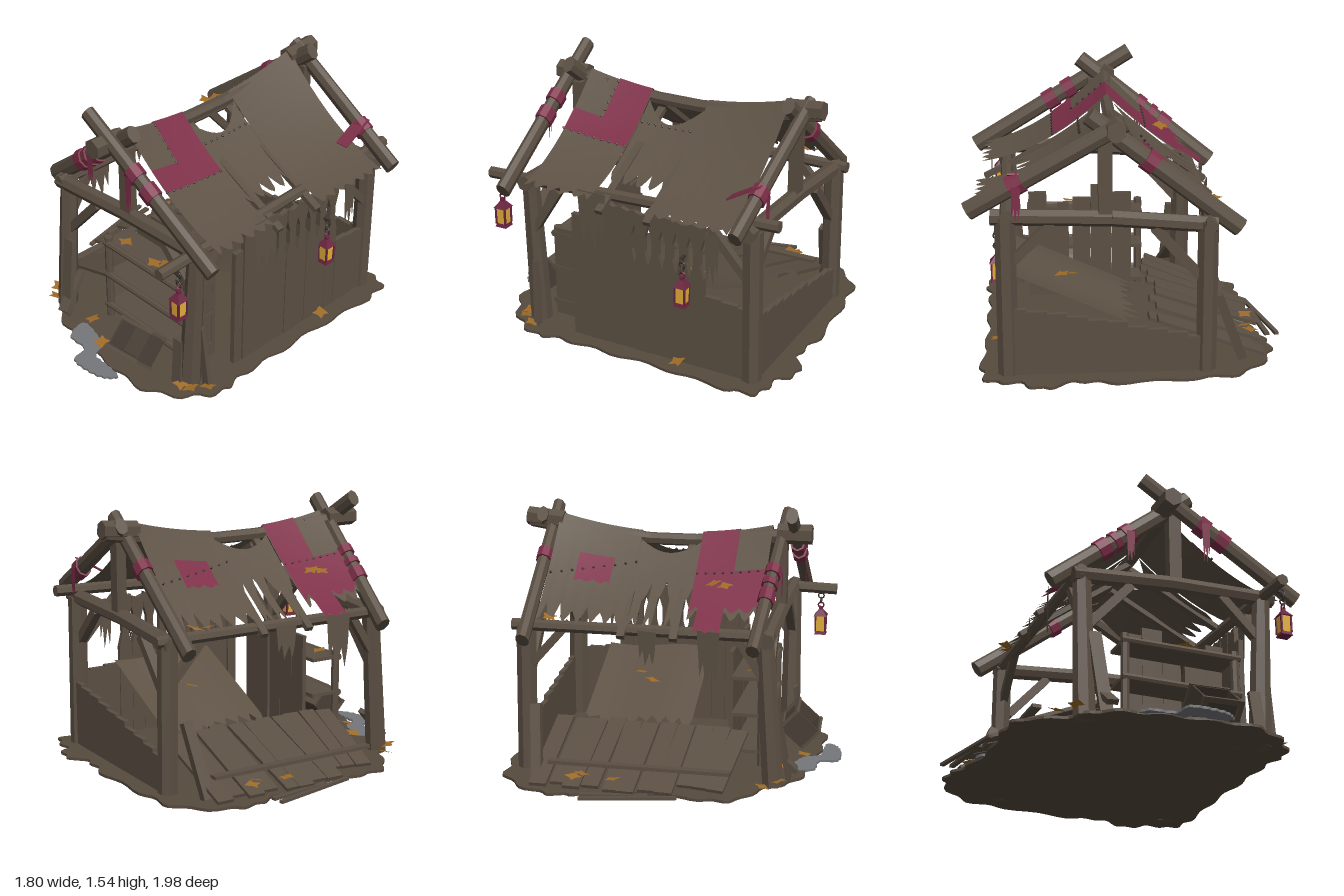
import * as THREE from 'three';

const V = (x, y, z) => new THREE.Vector3(x, y, z);
const RIDGE = 0.08;

export function createModel() {
  const root = new THREE.Group();
  root.name = 'tatteredMarketStall';
  const mat = (name, color, side = THREE.FrontSide) => {
    const m = new THREE.MeshStandardMaterial({ color, side });
    m.name = name;
    return m;
  };
  const wood = mat('weatheredWood', 0x5b4f43), darkWood = mat('darkWood', 0x4b4138);
  const earth = mat('earth', 0x564a3e), canvas = mat('canvas', 0x5e5245, THREE.DoubleSide);
  const red = mat('redCloth', 0x7d2f48, THREE.DoubleSide), maroon = mat('maroonMetal', 0x6a2440);
  const iron = mat('iron', 0x3a332e), glow = mat('lanternGlass', 0xe8b23a);
  const leafMat = mat('dryLeaf', 0xa06c28, THREE.DoubleSide), stone = mat('greyPuddle', 0x76777a);

  let seed = 7;
  const rnd = () => (seed = (seed * 16807) % 2147483647) / 2147483647;

  // faceted mesh, or smooth for cloth
  const add = (name, geo, m, parent = root, smooth = false) => {
    const g = geo.index && !smooth ? geo.toNonIndexed() : geo;
    g.computeVertexNormals();
    const mesh = new THREE.Mesh(g, m);
    mesh.name = name;
    parent.add(mesh);
    return mesh;
  };
  // round timber between two points
  const log = (name, a, b, r, m = wood, sides = 7, r2 = r) => {
    const d = b.clone().sub(a), mesh = add(name, new THREE.CylinderGeometry(r2, r, d.length(), sides, 3), m);
    mesh.position.copy(a).lerp(b, 0.5);
    mesh.quaternion.setFromUnitVectors(V(0, 1, 0), d.normalize());
    return mesh;
  };
  // flat board between two points; hint is the direction of its width
  const board = (name, a, b, w, t, hint = V(1, 0, 0), m = wood) => {
    const d = b.clone().sub(a), y = d.clone().normalize();
    const z = hint.clone().cross(y).normalize(), x = y.clone().cross(z);
    const mesh = add(name, new THREE.BoxGeometry(w, d.length(), t), m);
    mesh.position.copy(a).lerp(b, 0.5);
    mesh.quaternion.setFromRotationMatrix(new THREE.Matrix4().makeBasis(x, y, z));
    return mesh;
  };
  // flat irregular patch on the ground
  const slab = (name, pts, h, y, m, ripple) => {
    const c = new THREE.CatmullRomCurve3(pts.map(([x, z]) => V(x, 0, z)), true);
    const out = c.getPoints(160).slice(0, -1).map((p, i) => {
      const k = 1 + ripple * Math.sin(i * 1.1);
      return new THREE.Vector2(p.x * k, -p.z * k);
    });
    const g = new THREE.ExtrudeGeometry(new THREE.Shape(out), { depth: h, bevelEnabled: false });
    add(name, g.rotateX(-Math.PI / 2), m).position.y = y;
  };

  // ground
  slab('ground', [[-0.62, -0.85], [-0.35, -0.9], [0.1, -0.93], [0.3, -0.9], [0.48, -0.98], [0.62, -0.9], [0.78, -0.87],
    [0.82, -0.7], [0.8, -0.3], [0.8, 0.1], [0.8, 0.4], [0.82, 0.55], [0.72, 0.72], [0.5, 0.86], [0.2, 0.86], [-0.1, 0.84],
    [-0.35, 0.77], [-0.5, 0.62], [-0.72, 0.48], [-0.74, 0.3], [-0.72, 0], [-0.77, -0.3], [-0.82, -0.45], [-0.8, -0.62]],
  0.016, 0, earth, 0.018);
  slab('puddle', [[-0.18, 0.73], [-0.05, 0.74], [0.06, 0.79], [0.1, 0.87], [0.22, 0.88], [0.33, 0.9], [0.28, 0.96],
    [0.16, 0.99], [0.04, 0.98], [0.01, 0.88], [-0.14, 0.86]], 0.014, 0.006, stone, 0.004);
  slab('smallPuddle', [[-0.75, -0.16], [-0.68, -0.16], [-0.67, -0.09], [-0.73, -0.09]], 0.014, 0.006, stone, 0);

  // posts
  log('frontPost', V(-0.41, 0, 0.66), V(-0.41, 0.87, 0.6), 0.062, wood, 7, 0.052);
  log('frontPost', V(0.63, 0, 0.62), V(0.68, 0.92, 0.62), 0.065, wood, 7, 0.05);
  log('backPost', V(-0.42, 0, -0.78), V(-0.42, 0.88, -0.77), 0.058);
  log('backPost', V(0.67, 0, -0.78), V(0.67, 0.92, -0.77), 0.058);
  // tie beams, king posts and braces at both ends
  for (const z of [0.62, -0.77]) {
    log('tieBeam', V(-0.47, 0.85, z), V(0.1, 0.9, z), 0.046);
    log('tieBeam', V(0.1, 0.9, z), V(0.75, 0.92, z), 0.046);
    board('kingPost', V(0.135, 0.92, z), V(0.135, 1.34, z), 0.075, 0.06);
    board('brace', V(-0.38, 0.56, z), V(-0.13, 0.84, z), 0.05, 0.05);
    board('brace', V(0.66, 0.64, z), V(0.42, 0.88, z), 0.05, 0.05);
  }
  // wall plates with side braces
  log('wallPlate', V(0.68, 0.91, 0.89), V(0.66, 0.97, -0.92), 0.034);
  log('wallPlate', V(-0.43, 0.87, 0.66), V(-0.43, 0.87, -0.85), 0.034);
  for (const x of [-0.42, 0.68]) {
    board('sideBrace', V(x, 0.62, -0.76), V(x, 0.89, -0.52), 0.045, 0.045);
    board('sideBrace', V(x, 0.62, 0.6), V(x, 0.89, 0.43), 0.045, 0.045);
  }
  // crossed rafters, taller than wide
  const rafters = [[V(-0.58, 0.82, 0.56), V(0.22, 1.46, 0.64)], [V(0.87, 0.91, 0.68), V(-0.09, 1.49, 0.7)],
    [V(-0.6, 0.82, -0.74), V(0.22, 1.46, -0.75)], [V(0.87, 0.95, -0.76), V(0.03, 1.43, -0.8)]];
  rafters.forEach(([a, b]) => { log('rafter', a, b, 0.054, wood, 8, 0.05).scale.z = 0.72; });
  for (const z of [-0.2, 0.1]) {
    board('thinRafter', V(-0.5, 0.84, z), V(RIDGE, 1.28, z), 0.045, 0.03, V(0, 0, 1));
    board('thinRafter', V(0.8, 0.88, z), V(RIDGE, 1.24, z), 0.045, 0.03, V(0, 0, 1));
  }
  // sagging ridge beam
  const ridge = [V(RIDGE, 1.39, -0.88), V(RIDGE, 1.33, -0.5), V(RIDGE, 1.3, -0.15), V(RIDGE, 1.3, 0.12),
    V(RIDGE, 1.325, 0.45), V(0.06, 1.36, 0.78)];
  for (let i = 0; i < 5; i++) log('ridgeBeam', ridge[i], ridge[i + 1], i === 0 || i === 4 ? 0.045 : 0.037);
  log('ridgeEnd', V(0.06, 1.36, 0.6), V(0.06, 1.36, 0.8), 0.058, wood, 6);
  log('ridgeEnd', V(RIDGE, 1.39, -0.68), V(RIDGE, 1.41, -0.9), 0.055, wood, 6);

  // roof surface, sagging from ridge to eaves
  const roofY = (x, z) => {
    const top = 1.34 + 0.2 * z * z, right = x > RIDGE;
    const t = right ? (x - RIDGE) / 0.76 : (RIDGE - x) / 0.6;
    return top - t * (top - (right ? 0.95 : 0.88)) - 4 * (right ? 0.08 : 0.03) * t * (1 - t);
  };
  // sheet on the roof with a scalloped outer edge; notch hollows out the inner edge
  const cloth = (name, x0, x1, z0, z1, m = canvas, lift = 0, rag = 0, notch = 0) => {
    const nz = Math.max(4, Math.round(Math.abs(z1 - z0) / 0.02)), nx = 12, dir = Math.sign(x1 - x0);
    const g = new THREE.PlaneGeometry(1, 1, nx, nz), p = g.attributes.position;
    const jag = Array.from({ length: nz + 1 }, (_, i) => rag * [0, 0.3, 0.9, 0.35][i % 4] * (0.6 + 0.5 * rnd()));
    for (let i = 0; i < p.count; i++) {
      const u = p.getX(i) + 0.5, k = Math.round((p.getY(i) + 0.5) * nz), z = z0 + (z1 - z0) * k / nz;
      const a = x0 + dir * notch * Math.sin(Math.PI * k / nz), x = a + (x1 - dir * jag[k] - a) * u;
      p.setXYZ(i, x, roofY(x, z) + lift, z);
    }
    add(name, g, m, root, true);
  };
  cloth('frontRoofCloth', RIDGE, 0.82, 0.16, 0.57, canvas, 0, 0.07);
  cloth('frontRoofCloth', RIDGE, -0.42, 0.16, 0.57, canvas, 0, 0.08);
  cloth('middleRoofCloth', RIDGE + 0.04, 0.62, -0.2, 0.16, canvas, -0.01, 0.1, 0.1);
  cloth('middleRoofCloth', RIDGE - 0.04, -0.3, -0.2, 0.16, canvas, -0.01, 0.14, 0.06);
  cloth('backRoofCloth', RIDGE, 0.84, -0.7, -0.2, canvas, 0, 0.06);
  cloth('backRoofCloth', RIDGE, -0.48, -0.7, -0.2, canvas, 0, 0.12);
  for (const z of [-0.17, -0.08, 0.04]) cloth('roofTatter', -0.15, -0.48, z, z + 0.05, canvas, 0.004, 0.06);
  cloth('redRoofPatch', RIDGE, 0.4, 0.16, 0.38, red, 0.007);
  cloth('redRoofPatch', 0.28, 0.4, 0.38, 0.57, red, 0.007);
  cloth('redRoofPatch', RIDGE, -0.17, 0.16, 0.38, red, 0.007);
  cloth('redRoofPatch', -0.14, -0.38, 0.16, 0.57, red, 0.008, 0.05);
  cloth('redRoofStrip', -0.3, -0.51, 0.21, 0.36, red, 0.009, 0.03);
  cloth('smallRedPatch', -0.09, -0.24, -0.54, -0.33, red, 0.008, 0.02);
  // stitches
  const stitch = (x0, z0, x1, z1, n) => {
    for (let i = 0; i < n; i++) {
      const x = x0 + (x1 - x0) * i / (n - 1), z = z0 + (z1 - z0) * i / (n - 1);
      add('stitch', new THREE.OctahedronGeometry(0.01), iron).position.set(x, roofY(x, z) + 0.01, z);
    }
  };
  [[0.4, 0.17, 0.4, 0.57, 9], [0.1, 0.38, 0.28, 0.39, 6], [-0.15, 0.17, -0.15, 0.57, 9], [0.25, -0.17, 0.25, 0.14, 8],
    [-0.22, -0.68, -0.1, -0.2, 9]].forEach(a => stitch(...a));

  // vertical hanging rags, tapering to points
  const rag = (name, x, y, z, w, h, m = canvas, turn = Math.PI / 2) => {
    const s = new THREE.Shape();
    s.moveTo(-w / 2, 0);
    [[-0.42, -0.6], [-0.3, -0.95], [-0.15, -0.6], [0.1, -1], [0.22, -0.55], [0.38, -0.8], [0.5, 0]]
      .forEach(([u, v]) => s.lineTo(u * w, v * h));
    const mesh = add(name, new THREE.ShapeGeometry(s), m);
    mesh.position.set(x, y, z);
    mesh.rotation.y = turn;
  };
  rag('hangingRag', 0.76, 0.97, 0.17, 0.18, 0.34);
  rag('hangingRag', 0.73, 0.87, -0.56, 0.09, 0.31);
  rag('hangingRag', -0.5, 0.9, 0.3, 0.14, 0.33, canvas, 1.3);
  rag('hangingRag', -0.49, 0.88, -0.05, 0.12, 0.2, canvas, 1.3);
  // cloth wraps around the rafters
  const wrap = (k, t, w = 0.05, tail = 0) => {
    const [a, b] = rafters[k], d = b.clone().sub(a).normalize(), c = a.clone().lerp(b, t);
    log('redWrap', c.clone().addScaledVector(d, -w / 2), c.clone().addScaledVector(d, w / 2), 0.063, red, 8).scale.z = 0.78;
    if (tail) rag('redWrapTail', c.x, c.y, c.z + Math.sign(c.z) * 0.053, 0.05, tail, red, 0);
  };
  wrap(0, 0.37, 0.08); wrap(0, 0.46, 0.04); wrap(0, 0.55, 0.06, 0.2);
  wrap(1, 0.49, 0.08); wrap(1, 0.61, 0.07, 0.26);
  wrap(2, 0.6, 0.07); wrap(3, 0.31, 0.08, 0.2);
  board('redStrap', V(0.61, 1.16, -0.79), V(0.61, 1.05, -0.6), 0.08, 0.008, V(1, 0, 0), red);

  // plank side wall with diamond gaps between planks
  const plank = (z, w, h, gap) => {
    const s = new THREE.Shape(), e = w / 2 - 0.001, n = gap ? 0.02 : 0;
    s.moveTo(-e, 0.01); s.lineTo(e, 0.01);
    s.lineTo(e, 0.57); s.lineTo(e - n, 0.65); s.lineTo(e - n, 0.74); s.lineTo(e, 0.81);
    s.lineTo(e, h); s.lineTo(0, h - 0.015); s.lineTo(-e, h);
    s.lineTo(-e, 0.81); s.lineTo(-e + n, 0.74); s.lineTo(-e + n, 0.65); s.lineTo(-e, 0.57);
    const mesh = add('wallPlank', new THREE.ExtrudeGeometry(s, { depth: 0.03, bevelEnabled: false }), wood);
    mesh.rotation.y = Math.PI / 2;
    mesh.position.set(0.67 + 0.006 * rnd(), 0, z);
  };
  for (let i = 0; i < 9; i++) plank(0.235 - i * 0.086, 0.086, 0.88 + 0.02 * rnd(), i > 2);
  board('shortWallPlank', V(0.685, 0.01, 0.312), V(0.685, 0.78, 0.312), 0.06, 0.03, V(0, 0, 1));
  for (let i = 0; i < 3; i++)
    board('lowWallPlank', V(0.685, 0.01, -0.55 - i * 0.1), V(0.685, 0.47 - 0.01 * i, -0.55 - i * 0.1), 0.1, 0.03, V(0, 0, 1));
  // low broken back wall
  for (let i = 0; i < 10; i++) {
    const x = 0.62 - i * 0.11;
    board('backWallPlank', V(x, 0.01, -0.8), V(x, 0.4 - i * 0.02 + 0.015 * rnd(), -0.8), 0.11, 0.03);
  }
  // canvas fallen inside, torn along its low edge
  const fallen = new THREE.PlaneGeometry(0.62, 0.66, 6, 24).rotateX(-Math.PI / 2), fp = fallen.attributes.position;
  for (let i = 0; i < fp.count; i++) {
    const row = Math.floor(i / 7);
    if (i % 7 === 0) fp.setX(i, -0.31 - 0.06 * (row % 3) * rnd());
    fp.setY(i, 0.36 + fp.getX(i) * 0.46 + 0.012 * Math.sin(fp.getZ(i) * 9));
  }
  add('fallenCanvas', fallen, canvas, root, true).position.set(0.33, 0, -0.22);

  // shelf counter with tall back boards
  [[-0.02, 0.68], [0.105, 0.73], [0.225, 0.65], [0.34, 0.62], [0.41, 0.59], [0.495, 0.69]].forEach(([x, h], i) =>
    board('counterBackPlank', V(x, 0.01, 0.36), V(x, h, 0.36), [0.12, 0.125, 0.11, 0.07, 0.07, 0.11][i], 0.025));
  for (const x of [-0.135, 0.53]) log('counterUpright', V(x, 0, 0.55), V(x, 0.58, 0.55), 0.024);
  board('counterSide', V(0.545, 0.01, 0.47), V(0.545, 0.58, 0.47), 0.18, 0.02, V(0, 0, 1));
  for (const y of [0.1, 0.32, 0.54]) {
    board('counterShelf', V(-0.15, y, 0.46), V(0.56, y, 0.46), 0.17, 0.02, V(0, 0, 1));
    log('counterRail', V(-0.16, y, 0.56), V(0.56, y, 0.56), 0.02);
  }

  // tipped crate
  const crate = new THREE.Group();
  crate.name = 'crate';
  root.add(crate);
  const box = (w, h, d, x, y, z, m) => add('cratePart', new THREE.BoxGeometry(w, h, d), m, crate).position.set(x, y, z);
  box(0.23, 0.012, 0.17, 0, -0.075, 0, darkWood);
  for (const s of [-1, 1]) {
    box(0.012, 0.15, 0.17, s * 0.11, 0, 0, darkWood);
    box(0.23, 0.15, 0.012, 0, 0, s * 0.08, darkWood);
    for (const y of [-0.065, 0.065]) box(0.25, 0.03, 0.016, 0, y, s * 0.09, wood);
    for (const x of [-0.11, 0.11]) box(0.03, 0.16, 0.016, x, 0, s * 0.092, wood);
  }
  crate.position.set(0.3, 0.15, 0.73);
  crate.rotation.set(0.75, 0.08, 0);

  // collapsed side wall and loose boards
  for (let i = 0; i < 11; i++) {
    const z = -0.62 + i * 0.105, j = rnd() * 0.08, k = i > 7 ? (i - 7) * 0.02 : (rnd() - 0.5) * 0.04;
    board('fallenPlank', V(-0.8 + j + (i > 7 ? 0.1 : 0), 0.035, z - k), V(-0.2 + j, 0.22 + 0.03 * rnd(), z), 0.1, 0.02, V(0, 0, 1));
  }
  board('fallenBatten', V(-0.6, 0.12, -0.6), V(-0.6, 0.12, 0.45), 0.05, 0.02);
  board('looseSlat', V(-0.89, 0.02, -0.35), V(-0.77, 0.02, 0.18), 0.025, 0.016);
  board('looseSlat', V(-0.83, 0.022, -0.36), V(-0.78, 0.022, 0.02), 0.03, 0.016);
  board('leaningPlank', V(-0.64, 0.02, -0.66), V(-0.49, 0.42, -0.7), 0.05, 0.06);
  board('leaningPlank', V(-0.32, 0.01, 0.74), V(-0.36, 0.5, 0.66), 0.075, 0.025);
  board('leaningPlank', V(0.6, 0.01, 0.69), V(0.585, 0.3, 0.66), 0.07, 0.025);
  board('leaningPlank', V(0.73, 0.01, 0.58), V(0.69, 0.42, 0.6), 0.05, 0.025);
  board('propBoard', V(-0.3, 0.06, 0.78), V(-0.36, 0.24, 0.6), 0.07, 0.03);

  // square lanterns on chains
  const lantern = (x, y, z) => {
    const g = new THREE.Group();
    g.name = 'lantern';
    g.position.set(x, y, z);
    root.add(g);
    const tier = (n, r1, r2, h, cy, m) =>
      add(n, new THREE.CylinderGeometry(r1, r2, h, 4).rotateY(Math.PI / 4), m, g).position.y = cy;
    tier('lanternBase', 0.042, 0.05, 0.02, 0.01, maroon);
    tier('lanternGlass', 0.043, 0.037, 0.102, 0.071, glow);
    tier('lanternRoof', 0.016, 0.057, 0.04, 0.138, maroon);
    tier('lanternCap', 0.014, 0.016, 0.02, 0.166, maroon);
    for (const a of [-1, 1]) for (const b of [-1, 1])
      add('lanternBar', new THREE.BoxGeometry(0.01, 0.104, 0.01), maroon, g).position.set(a * 0.03, 0.071, b * 0.03);
    for (let i = 0; i < 4; i++) {
      const t = add('chainLink', new THREE.TorusGeometry(0.017, 0.005, 5, 10), i ? iron : maroon, g);
      t.position.y = 0.185 + i * 0.03;
      t.rotation.y = i % 2 ? 0 : Math.PI / 2;
    }
  };
  lantern(0.725, 0.61, 0.79);
  lantern(0.73, 0.4, -0.38);
  board('lanternHook', V(0.67, 0.69, -0.38), V(0.745, 0.69, -0.38), 0.015, 0.015, V(0, 0, 1), iron);
  board('lanternHook', V(0.67, 0.9, 0.79), V(0.735, 0.88, 0.79), 0.015, 0.015, V(0, 0, 1), iron);

  // dry leaves
  const leafShape = new THREE.Shape([[0, -0.05], [0.02, -0.015], [0.05, -0.013], [0.03, 0.015], [0, 0.055],
    [-0.022, 0.018], [-0.05, 0], [-0.02, -0.017]].map(([x, y]) => new THREE.Vector2(x, y)));
  [[-0.72, 0.085, -0.42], [-0.69, 0.095, -0.38], [-0.72, 0.085, -0.2], [-0.46, 0.93, -0.62], [-0.47, 0.93, -0.55], [-0.25, 1.12, 0.28],
    [-0.26, 1.11, 0.35], [0.64, 0.04, 0.7], [0.76, 0.04, 0.6], [-0.55, 0.04, 0.62], [-0.4, 0.04, 0.66], [-0.15, 0.04, 0.68],
    [0.05, 0.04, 0.78], [0.3, 0.59, 0.5], [0.24, 0.58, 0.53], [0.3, 0.37, -0.2], [0.36, 0.4, -0.28], [0.74, 0.04, -0.35],
    [0.7, 0.04, 0.68], [-0.47, 0.05, 0.7], [-0.04, 0.57, 0.5]].forEach(([x, y, z], i) => {
    const m = add('leaf', new THREE.ShapeGeometry(leafShape), leafMat);
    m.position.set(x, y, z);
    m.rotation.set(-Math.PI / 2 + 0.6 * (rnd() - 0.5), 0.5 * (rnd() - 0.5), i * 1.9);
  });
  return root;
}
